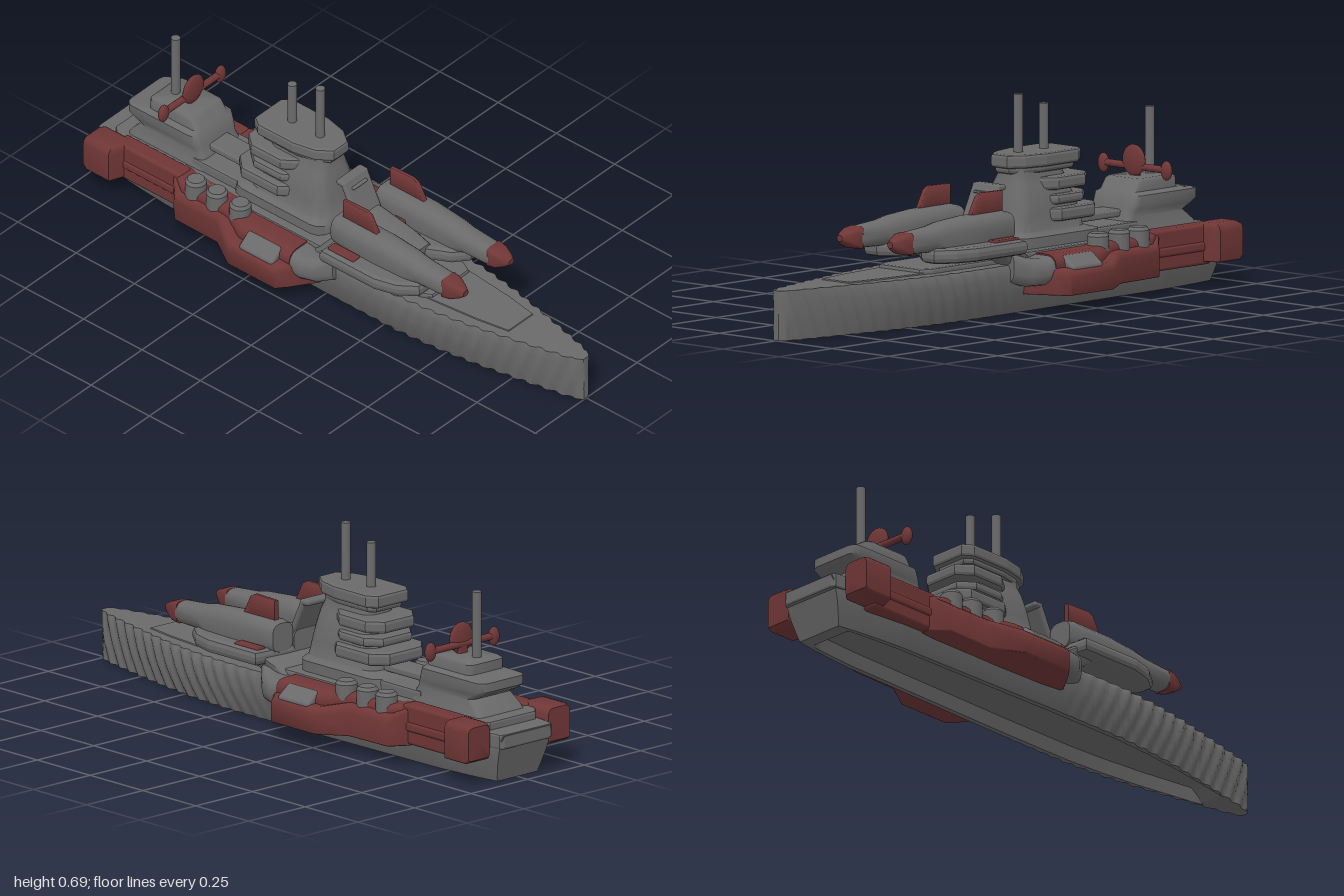
import * as THREE from 'three';
import { toCreasedNormals } from 'three/addons/utils/BufferGeometryUtils.js';
import { RoundedBoxGeometry } from 'three/addons/geometries/RoundedBoxGeometry.js';

const grey = new THREE.MeshStandardMaterial({ name: 'hull grey', color: 0x6a6a6a });
const red = new THREE.MeshStandardMaterial({ name: 'dark red', color: 0x703636 });

// Skin a list of equal-length rings (counterclockwise seen from +z, z rising), with capped ends
function skin(rings) {
  const n = rings[0].length, pos = [], idx = [];
  rings.forEach(r => r.forEach(p => pos.push(...p)));
  for (let j = 0; j < rings.length - 1; j++) {
    for (let i = 0; i < n; i++) {
      const a = j * n + i, b = j * n + (i + 1) % n;
      idx.push(a, b, b + n, a, b + n, a + n);
    }
  }
  [0, rings.length - 1].forEach(j => {
    const c = pos.length / 3, sum = [0, 0, 0];
    rings[j].forEach(p => p.forEach((v, k) => { sum[k] += v / n; }));
    pos.push(...sum);
    for (let i = 0; i < n; i++) {
      const a = j * n + i, b = j * n + (i + 1) % n;
      if (j) idx.push(c, a, b); else idx.push(c, b, a);
    }
  });
  const g = new THREE.BufferGeometry();
  g.setAttribute('position', new THREE.Float32BufferAttribute(pos, 3));
  g.setIndex(idx);
  return toCreasedNormals(g, 0.85);
}

// Rounded rectangles [z, x0, x1, y0, y1, radius, bottom radius] lofted along z
function loft(sections) {
  return skin(sections.map(([z, x0, x1, y0, y1, c, d = c]) => {
    const corners = [[x1 - d, y0 + d, d], [x1 - c, y1 - c, c], [x0 + c, y1 - c, c], [x0 + d, y0 + d, d]];
    return corners.flatMap(([x, y, r], k) => [0, 1, 2, 3].map(i => {
      const t = (k - 1 + i / 3) * Math.PI / 2;
      return [x + r * Math.cos(t), y + r * Math.sin(t), z];
    }));
  }));
}

// Side pieces: the same loft, mirrored for s = -1
const sideLoft = (s, list) => loft(list.map(([z, x0, x1, ...r]) => s > 0 ? [z, x0, x1, ...r] : [z, -x1, -x0, ...r]));

// Stacked levels [y, halfWidth, zBack, zFront, radius] lofted upwards
const stack = list => loft(list.map(([y, w, zb, zf, c]) => [y, -w, w, -zf, -zb, c])).rotateX(-Math.PI / 2);

// Bevelled plate from an [x, z] outline
function slab(points, y0, y1, b = 0.008) {
  const shape = new THREE.Shape(points.map(([x, z]) => new THREE.Vector2(x, -z)));
  const g = new THREE.ExtrudeGeometry(shape, { depth: y1 - y0 - 2 * b, bevelThickness: b, bevelSize: b, bevelOffset: -b, bevelSegments: 2 });
  return g.rotateX(-Math.PI / 2).translate(0, y0 + b, 0);
}
const both = half => [...half, ...half.map(([x, z]) => [-x, z]).reverse()];
const block = (w, h, d, x, y, z, r = 0.012) => new RoundedBoxGeometry(w, h, d, 2, r).translate(x, y, z);

// Hull with slanting ripples along the bow and a trough underneath
function hullGeometry() {
  const widths = [[-1, 0.11], [-0.9, 0.125], [-0.7, 0.145], [-0.3, 0.155], [0, 0.163], [0.3, 0.164], [0.45, 0.15], [0.6, 0.125], [0.8, 0.078], [0.93, 0.045], [0.98, 0.03], [1, 0.012]];
  const side = [[0.003, 0.6], [0.003, 0.68], [0.003, 0.8], [0.025, 0.86], [0.05, 0.91], [0.075, 0.96], [0.1, 0.99], [0.125, 1], [0.152, 1], [0.167, 0.95]];
  const widthAt = z => {
    const k = Math.max(1, widths.findIndex(p => p[0] >= z - 1e-6));
    const [a, b] = [widths[k - 1], widths[k]];
    return a[1] + (b[1] - a[1]) * (z - a[0]) / (b[0] - a[0]);
  };
  const rings = [];
  for (let i = 0; i <= 240; i++) {
    const z = -1 + i / 120;
    const amp = z > 0 ? 0.005 * Math.min(1, z * 3) * (z > 0.97 ? 0.3 : 1) : 0;
    const trough = 0.045 * THREE.MathUtils.clamp(Math.min((z + 0.93) * 20, (0.85 - z) * 20), 0, 1);
    const half = side.map(([y, f], k) => {
      const ripple = k > 1 ? amp * Math.sin(z * 110 - y * 45) : 0;
      const shear = (0.167 - y) * 0.3 * Math.max(0, (-z - 0.8) / 0.2);
      return [widthAt(z) * f + ripple, y + (k === 0 ? trough : 0), z + shear];
    });
    rings.push([...half, ...half.map(([x, y, zz]) => [-x, y, zz]).reverse()]);
  }
  return skin(rings);
}

export function createModel() {
  const model = new THREE.Group();
  model.name = 'warship';
  const add = (name, geo, mat = grey) => {
    const m = new THREE.Mesh(geo, mat);
    m.name = name;
    model.add(m);
    return m;
  };

  // Hull and decks
  add('hull', hullGeometry());
  add('forwardDeck', slab(both([[0.06, 0.72], [0.08, 0.6], [0.1, 0.4], [0.1, 0.3]]), 0.155, 0.172, 0.004));
  add('bowDeck', slab(both([[0.09, 0.42], [0.11, 0.38], [0.11, 0.05]]), 0.155, 0.184));
  add('mainDeck', slab(both([[0.15, 0.02], [0.15, -0.4], [0.13, -0.9], [0.1, -0.93]]), 0.1, 0.2));
  add('sternLip', slab(both([[0.125, -0.9], [0.115, -0.99], [0.1, -1]]), 0.12, 0.172));
  add('midDeck', slab(both([[0.1, -0.36], [0.1, -0.6]]), 0.19, 0.235));
  add('deckBridge', block(0.09, 0.025, 0.24, 0, 0.258, -0.48, 0.008));

  // Raised weapon platform with a notched front, and its support
  add('weaponPlatform', slab(both([[0, 0.28], [0.05, 0.38], [0.1, 0.42], [0.155, 0.42], [0.2, 0.36], [0.222, 0.28], [0.222, 0.05], [0.1, 0.04]]), 0.205, 0.255, 0.018));
  add('platformSupport', stack([[0.12, 0.17, -0.08, 0.03, 0.02], [0.16, 0.16, -0.06, 0.06, 0.02], [0.2, 0.17, -0.01, 0.13, 0.03], [0.23, 0.19, 0.04, 0.2, 0.03]]));
  add('platformSpine', loft([[0.04, -0.06, 0.06, 0.23, 0.3, 0.02], [0.22, -0.05, 0.05, 0.23, 0.28, 0.02], [0.3, -0.04, 0.04, 0.23, 0.262, 0.015]]));

  // Blast shield: a leaning panel with a folded top
  const shield = add('blastShield', block(0.12, 0.15, 0.022, 0, 0, 0));
  shield.position.set(0, 0.342, 0.035);
  shield.rotation.x = -0.45;
  add('shieldTop', block(0.12, 0.02, 0.04, 0, 0.402, -0.003, 0.009));
  add('shieldSlot', block(0.07, 0.008, 0.03, 0, 0.385, 0.02, 0.003));

  for (const s of [1, -1]) {
    // Missiles with red nose and fin
    add('missilePod', sideLoft(s, [[0.04, 0.065, 0.155, 0.24, 0.335, 0.03], [0.07, 0.06, 0.162, 0.23, 0.343, 0.04],
      [0.24, 0.06, 0.162, 0.21, 0.342, 0.04], [0.35, 0.063, 0.157, 0.212, 0.335, 0.04],
      [0.4, 0.067, 0.153, 0.24, 0.325, 0.035], [0.51, 0.073, 0.147, 0.245, 0.315, 0.025], [0.52, 0.085, 0.135, 0.255, 0.3, 0.015]]));
    add('missileNose', sideLoft(s, [[0.505, 0.075, 0.147, 0.243, 0.316, 0.015], [0.535, 0.078, 0.144, 0.247, 0.312, 0.015],
      [0.565, 0.09, 0.134, 0.26, 0.302, 0.015], [0.582, 0.1, 0.124, 0.272, 0.292, 0.008]]), red);
    add('missileFin', sideLoft(s, [[0.065, 0.107, 0.124, 0.32, 0.408, 0.005], [0.16, 0.107, 0.124, 0.32, 0.41, 0.005],
      [0.18, 0.107, 0.124, 0.32, 0.4, 0.005], [0.21, 0.107, 0.124, 0.32, 0.345, 0.005]]), red);
    add('platformPanel', block(0.036, 0.014, 0.11, s * 0.182, 0.255, 0.12, 0.004), red);
    add('missileBand', block(0.03, 0.03, 0.05, s * 0.052, 0.262, 0.15, 0.01), red);

    // Red side hull: bulge, midsection, channel and stern pod
    add('sideBulge', sideLoft(s, [[-0.62, 0.1, 0.172, 0.07, 0.2, 0.015, 0.006], [-0.57, 0.1, 0.222, 0.066, 0.175, 0.03, 0.006],
      [-0.39, 0.1, 0.222, 0.064, 0.175, 0.03, 0.006], [-0.29, 0.1, 0.284, 0.062, 0.15, 0.025, 0.006],
      [-0.09, 0.1, 0.284, 0.062, 0.15, 0.025, 0.006], [-0.06, 0.1, 0.25, 0.063, 0.15, 0.025, 0.006], [0, 0.1, 0.17, 0.066, 0.14, 0.02, 0.006]]), red);
    add('sideShoulder', sideLoft(s, [[-0.62, 0.1, 0.165, 0.12, 0.205, 0.015], [-0.56, 0.1, 0.2, 0.12, 0.2, 0.02],
      [-0.36, 0.1, 0.2, 0.12, 0.2, 0.025], [-0.28, 0.1, 0.24, 0.12, 0.193, 0.035], [-0.065, 0.1, 0.24, 0.12, 0.193, 0.035]]), red);
    add('sideChannel', block(0.06, 0.135, 0.28, s * 0.143, 0.141, -0.73), red);
    add('channelRib', block(0.03, 0.035, 0.28, s * 0.163, 0.135, -0.73), red);
    add('sternPod', sideLoft(s, [[-0.96, 0.13, 0.225, 0.095, 0.205, 0.02, 0.008], [-0.945, 0.12, 0.228, 0.085, 0.212, 0.025, 0.008],
      [-0.85, 0.12, 0.228, 0.085, 0.212, 0.025, 0.008], [-0.83, 0.12, 0.18, 0.085, 0.205, 0.02, 0.008]]), red);

    // Grey fairing ahead of the bulge, armour hatch and launch tubes
    add('fairing', sideLoft(s, [[-0.075, 0.1, 0.238, 0.1, 0.19, 0.035], [-0.03, 0.1, 0.238, 0.095, 0.182, 0.035],
      [0.02, 0.1, 0.22, 0.095, 0.19, 0.035], [0.07, 0.1, 0.18, 0.11, 0.21, 0.03]]));
    const hatch = add('armourHatch', block(0.07, 0.03, 0.145, 0, 0, 0));
    hatch.position.set(s * 0.243, 0.159, -0.18);
    hatch.rotation.z = -s * 0.65;
    for (const z of [-0.33, -0.43, -0.52]) {
      const tube = [[0, 0], [0.036, 0], [0.036, 0.085], [0.028, 0.096], [0, 0.097]].map(p => new THREE.Vector2(...p));
      add('launchTube', toCreasedNormals(new THREE.LatheGeometry(tube, 20), 0.6).translate(s * 0.175, 0.138, z));
    }
  }

  // Main tower: tapering body, rear ledges and a flared crown
  add('mainTower', stack([[0.19, 0.12, -0.43, -0.03, 0.05], [0.235, 0.12, -0.42, -0.03, 0.05], [0.25, 0.1, -0.37, -0.04, 0.05],
    [0.3, 0.095, -0.36, -0.05, 0.05], [0.35, 0.088, -0.34, -0.06, 0.05], [0.4, 0.072, -0.32, -0.072, 0.04],
    [0.43, 0.06, -0.31, -0.08, 0.04], [0.47, 0.06, -0.32, -0.08, 0.04]]));
  for (const [y0, y1, w, zb] of [[0.275, 0.32, 0.12, -0.425], [0.328, 0.362, 0.105, -0.385], [0.376, 0.42, 0.106, -0.395]]) {
    add('towerLedge', slab(both([[w * 0.5, -0.15], [w, -0.22], [w, zb + 0.05], [w * 0.6, zb]]), y0, y1, 0.012));
  }
  add('towerCrown', slab(both([[0.035, -0.05], [0.072, -0.1], [0.09, -0.18], [0.09, -0.33], [0.065, -0.365]]), 0.455, 0.5, 0.01));
  add('crownFlare', slab(both([[0.03, -0.065], [0.06, -0.11], [0.075, -0.18], [0.075, -0.32], [0.055, -0.345]]), 0.435, 0.47, 0.012));

  // Rear deckhouse
  add('rearDeckhouse', stack([[0.17, 0.11, -0.9, -0.55, 0.02], [0.215, 0.1, -0.87, -0.55, 0.02], [0.25, 0.09, -0.83, -0.57, 0.02],
    [0.27, 0.095, -0.87, -0.575, 0.025], [0.285, 0.1, -0.89, -0.58, 0.03], [0.315, 0.1, -0.89, -0.59, 0.03],
    [0.325, 0.08, -0.81, -0.6, 0.02], [0.358, 0.078, -0.81, -0.62, 0.02], [0.366, 0.07, -0.8, -0.63, 0.02]]));

  // Masts
  for (const [z, y0, y1] of [[-0.14, 0.48, 0.69], [-0.26, 0.48, 0.648], [-0.76, 0.34, 0.585]]) {
    add('mast', new THREE.CylinderGeometry(0.0155, 0.0155, y1 - y0, 20).translate(0, (y0 + y1) / 2, z));
  }

  // Red radar bar with a dish and rounded ends
  add('radarBar', new THREE.CylinderGeometry(0.012, 0.012, 0.28, 12).rotateZ(Math.PI / 2).translate(0, 0.395, -0.69), red);
  add('radarDish', new THREE.SphereGeometry(1, 20, 12).scale(0.05, 0.052, 0.014).translate(0, 0.415, -0.685), red);
  add('radarFoot', block(0.04, 0.05, 0.02, 0, 0.375, -0.69, 0.008), red);
  for (const s of [1, -1]) {
    add('radarEnd', new THREE.SphereGeometry(1, 16, 12).scale(0.022, 0.032, 0.015).translate(s * 0.14, 0.393, -0.69), red);
  }
  return model;
}
